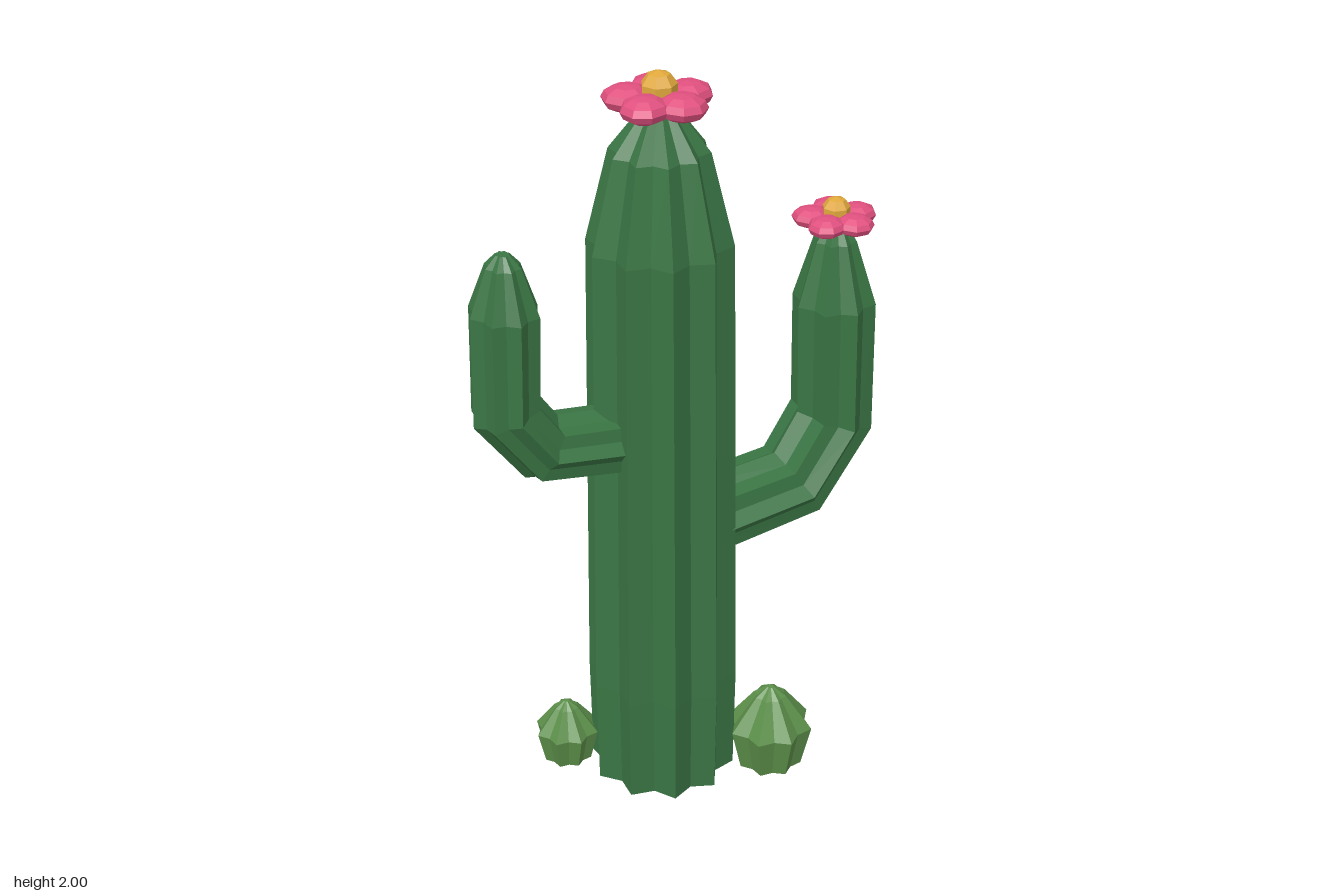
import * as THREE from 'three';

const paint = (name, color) => {
  const m = new THREE.MeshStandardMaterial({ color, flatShading: true });
  m.name = name;
  return m;
};

// Star-sectioned body swept along [x, y, radius] rings in the xy plane, capped at both ends
function ribbedBody(rings, ribs, depth = 1, valley = 0.82) {
  const n = ribs * 2, pos = [], idx = [];
  const dir = (a, b) => new THREE.Vector2(b[0] - a[0], b[1] - a[1]).normalize();
  rings.forEach(([x, y, r], i) => {
    const t = new THREE.Vector2();
    if (i > 0) t.add(dir(rings[i - 1], rings[i]));
    if (i < rings.length - 1) t.add(dir(rings[i], rings[i + 1]));
    t.normalize();
    for (let j = 0; j < n; j++) {
      const a = (j / n) * Math.PI * 2;
      const k = r * (j % 2 ? valley : 1);
      const u = k * Math.cos(a);
      pos.push(x + u * t.y, y - u * t.x, -k * Math.sin(a) * depth);
    }
  });
  const last = (rings.length - 1) * n, start = rings.length * n;
  for (const r of [rings[0], rings.at(-1)]) pos.push(r[0], r[1], 0);
  for (let j = 0; j < n; j++) {
    const k = (j + 1) % n;
    for (let i = 0; i < last; i += n) {
      idx.push(i + j, i + k, i + n + k, i + j, i + n + k, i + n + j);
    }
    idx.push(start, k, j, start + 1, last + j, last + k);
  }
  const g = new THREE.BufferGeometry();
  g.setAttribute('position', new THREE.Float32BufferAttribute(pos, 3));
  g.setIndex(idx);
  g.computeVertexNormals();
  return g;
}

export function createModel() {
  const green = paint('cactus green', 0x3a7544);
  const light = paint('young cactus green', 0x5c8f4a);
  const pink = paint('petal pink', 0xe0507f);
  const yellow = paint('flower centre yellow', 0xe0a83c);

  const model = new THREE.Group();
  model.name = 'cactus';
  const add = (parent, name, geometry, material, x = 0, y = 0, z = 0) => {
    const mesh = new THREE.Mesh(geometry, material);
    mesh.name = name;
    mesh.position.set(x, y, z);
    parent.add(mesh);
    return mesh;
  };
  const Z = -0.025;

  // Trunk
  add(model, 'trunk', ribbedBody([
    [0, 0, 0.195], [0, 0.3, 0.2], [0, 1.56, 0.184], [0, 1.8, 0.125], [0, 1.91, 0.04],
  ], 10), green, -0.06, 0, Z);

  // Arms, rooted inside the trunk and bending upward
  add(model, 'leftArm', ribbedBody([
    [0, 0.745, 0.108], [0.335, 0.783, 0.109], [0.452, 0.95, 0.11],
    [0.448, 1.29, 0.107], [0.445, 1.46, 0.055], [0.445, 1.51, 0.025],
  ], 8, 1.08), green, 0, 0, Z);
  add(model, 'rightArm', ribbedBody([
    [-0.12, 1.04, 0.09], [-0.395, 1.08, 0.09], [-0.486, 1.205, 0.09],
    [-0.479, 1.47, 0.088], [-0.477, 1.59, 0.045], [-0.477, 1.62, 0.018],
  ], 8, 1.12), green, 0, 0, Z);

  // Young cacti at the foot
  const youngGeometry = ribbedBody([
    [0, 0, 0.09], [0, 0.12, 0.118], [0, 0.215, 0.045], [0, 0.24, 0.01],
  ], 8);
  add(model, 'frontYoungCactus', youngGeometry, light, 0.195, 0, 0.122);
  add(model, 'backYoungCactus', youngGeometry, light, -0.287, 0, -0.16).scale.setScalar(0.75);

  // Flowers: five plump petals round a domed centre
  const petal = new THREE.SphereGeometry(1, 8, 6);
  const dome = new THREE.SphereGeometry(0.047, 7, 5);
  const flower = (name, x, y, size) => {
    const g = new THREE.Group();
    g.name = name;
    for (let i = 0; i < 5; i++) {
      const a = (i / 5) * Math.PI * 2;
      const p = add(g, 'petal', petal, pink, Math.cos(a) * 0.076, 0, -Math.sin(a) * 0.076);
      p.scale.set(0.064, 0.033, 0.06);
      p.rotation.y = a;
    }
    add(g, 'flowerCentre', dome, yellow, 0, 0.025, 0);
    g.position.set(x, y, Z);
    g.scale.setScalar(size);
    model.add(g);
  };
  flower('trunkFlower', -0.06, 1.928, 1);
  flower('armFlower', 0.445, 1.518, 0.81);

  return model;
}
